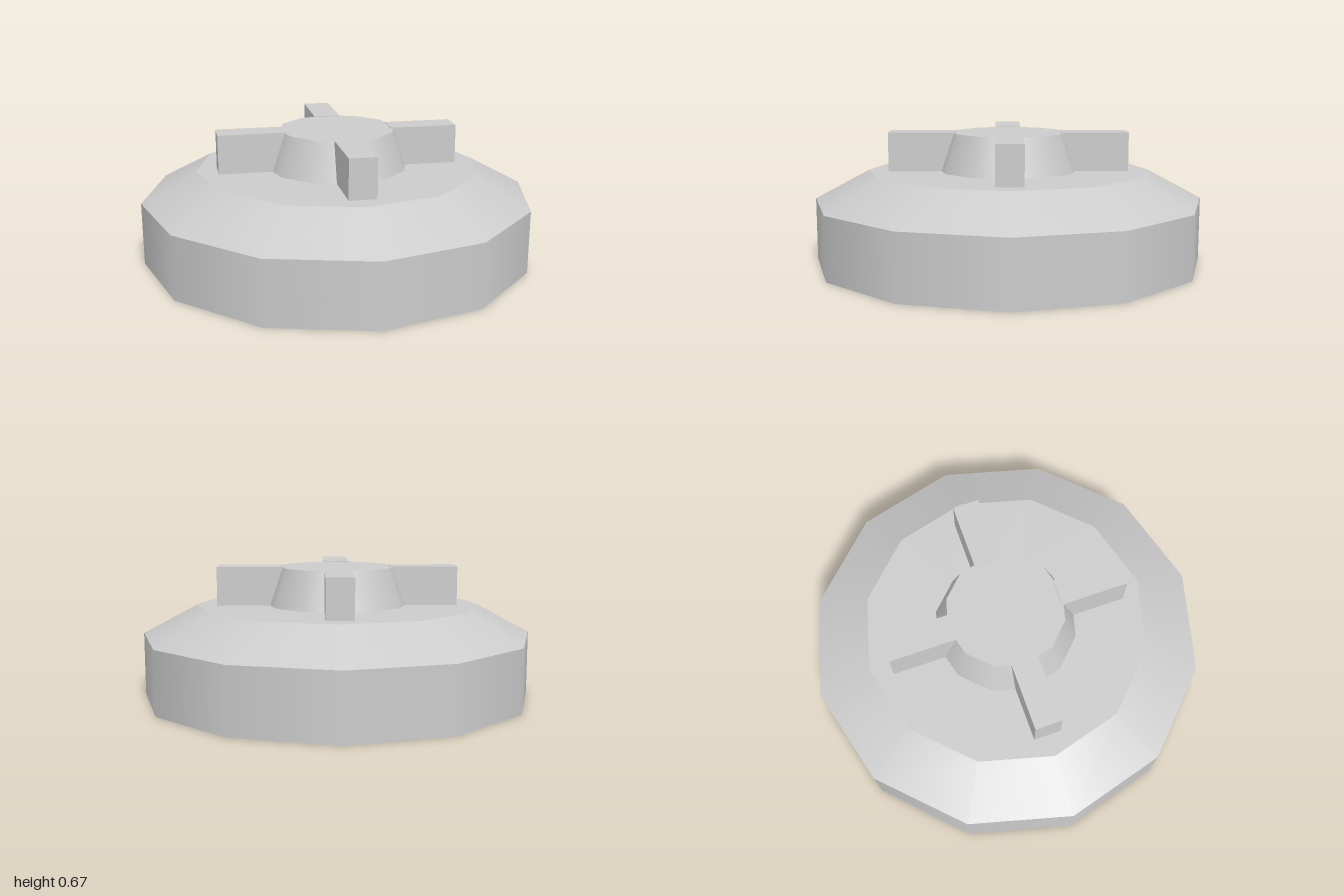
import * as THREE from 'three';

const SIDES = 12;

export function createModel() {
  const group = new THREE.Group();
  const shell = new THREE.MeshStandardMaterial({ color: 0xcccccc, side: THREE.DoubleSide });
  const solid = new THREE.MeshStandardMaterial({ color: 0xcccccc });

  const add = (name, geometry, material) => {
    const mesh = new THREE.Mesh(geometry, material);
    mesh.name = name;
    group.add(mesh);
    return mesh;
  };

  // Open twelve-sided band between two heights
  const band = (name, rBottom, rTop, y0, y1) => {
    const g = new THREE.CylinderGeometry(rTop, rBottom, y1 - y0, SIDES, 1, true);
    add(name, g.translate(0, (y0 + y1) / 2, 0), shell);
  };

  // Flat twelve-sided plate facing up, optionally with a hole
  const plate = (name, rInner, rOuter, y) => {
    const g = rInner > 0
      ? new THREE.RingGeometry(rInner, rOuter, SIDES)
      : new THREE.CircleGeometry(rOuter, SIDES);
    add(name, g.rotateX(-Math.PI / 2).translate(0, y, 0), shell);
  };

  // Hollow cap, open underneath
  band('skirt', 1, 1, 0, 0.32);
  band('shoulder', 1, 0.72, 0.32, 0.47);
  plate('deck', 0.36, 0.72, 0.47);

  // Tapered hollow hub
  band('hubWall', 0.36, 0.295, 0.47, 0.665);
  plate('hubTop', 0, 0.295, 0.665);

  // Four grip arms around the hub
  const inner = 0.27, outer = 0.612, bottom = 0.465, top = 0.668;
  for (let i = 0; i < 4; i++) {
    const g = new THREE.BoxGeometry(outer - inner, top - bottom, 0.135);
    g.translate((inner + outer) / 2, (top + bottom) / 2, 0);
    add('gripArm' + (i + 1), g, solid).rotation.y = i * Math.PI / 2;
  }

  return group;
}
